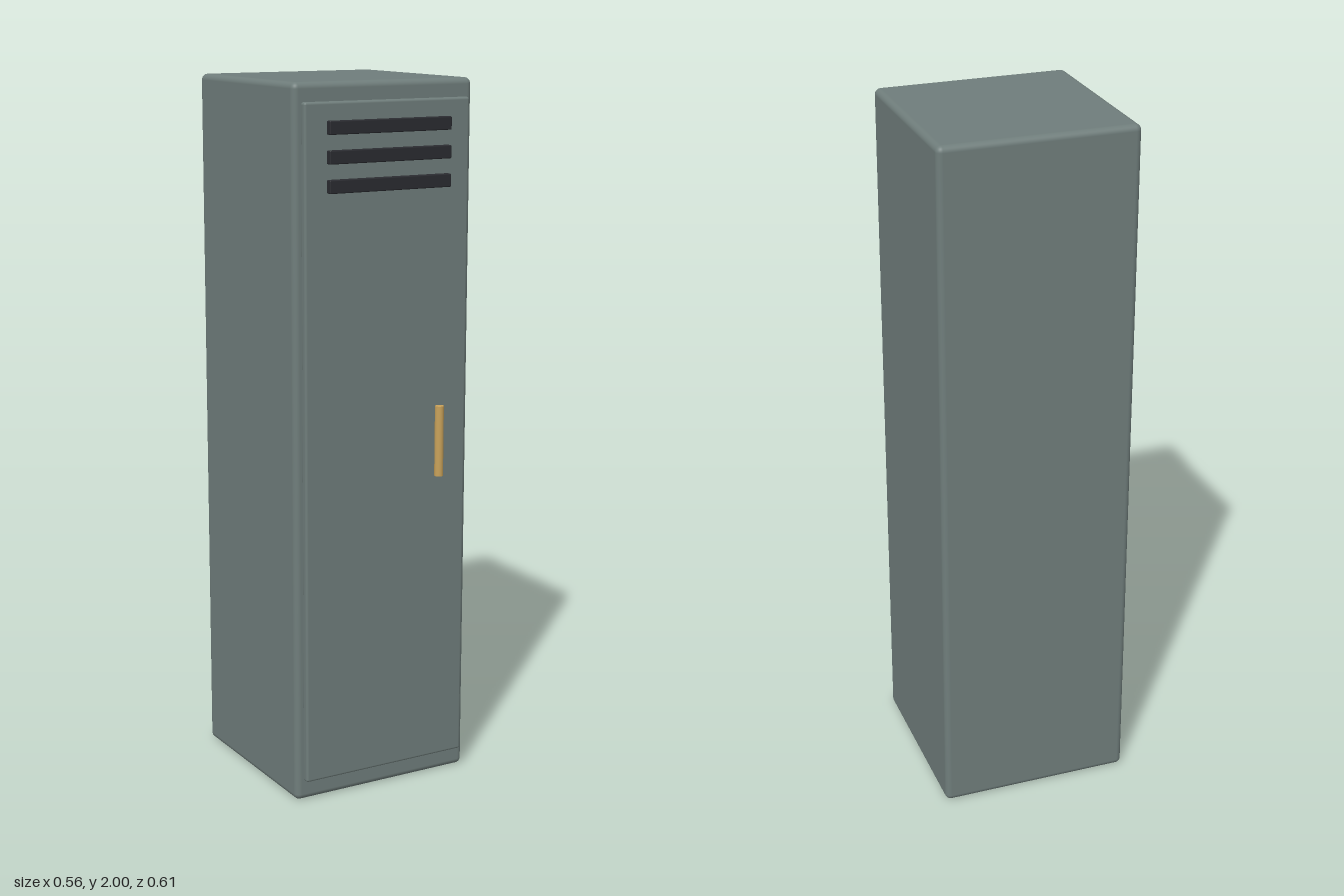
import * as THREE from 'three';
import { RoundedBoxGeometry } from 'three/addons/geometries/RoundedBoxGeometry.js';

export function createModel() {
  const locker = new THREE.Group();
  locker.name = 'locker';
  const steel = new THREE.MeshStandardMaterial({ color: 0x6f7d7b });
  const dark = new THREE.MeshStandardMaterial({ color: 0x2a2b30 });
  const brass = new THREE.MeshStandardMaterial({ color: 0xc9a25a });

  const add = (name, geometry, material, x, y, z) => {
    const mesh = new THREE.Mesh(geometry, material);
    mesh.name = name;
    mesh.position.set(x, y, z);
    locker.add(mesh);
  };

  // Cabinet with softly rounded edges
  add('cabinet', new RoundedBoxGeometry(0.556, 2, 0.555, 4, 0.017), steel, 0, 1, -0.029);

  // Door panel standing proud of the front
  add('door', new RoundedBoxGeometry(0.512, 1.89, 0.023, 3, 0.007), steel, 0, 1.004, 0.2585);

  // Vent slats near the top of the door
  for (let i = 0; i < 3; i++) {
    add(`ventSlat${i + 1}`, new RoundedBoxGeometry(0.378, 0.036, 0.022, 2, 0.003), dark, 0, 1.882 - i * 0.077, 0.276);
  }

  // Upright round handle
  add('handle', new THREE.CylinderGeometry(0.0125, 0.0125, 0.2, 24), brass, 0.155, 1.005, 0.2935);

  return locker;
}
